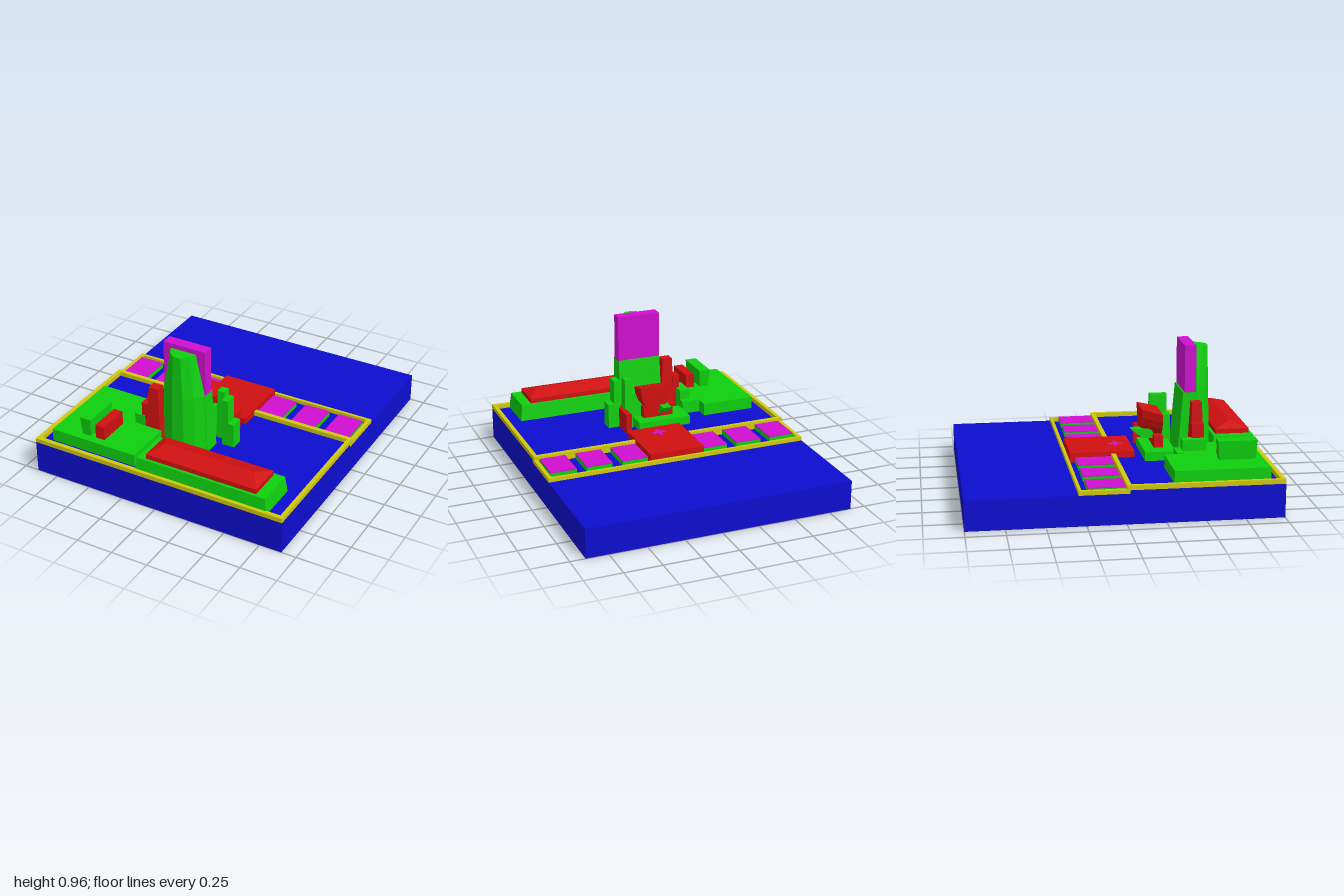
import * as THREE from 'three';

const material = (color) => new THREE.MeshStandardMaterial({ color, flatShading: true, side: THREE.DoubleSide });

export function createModel() {
  const group = new THREE.Group();
  group.name = 'islandBlock';
  const blue = material(0x0d0dd0), green = material(0x0fd00f), red = material(0xd01010);
  const yellow = material(0xd0c80f), magenta = material(0xd00fd0);

  const add = (name, geometry, mat) => {
    const mesh = new THREE.Mesh(geometry, mat);
    mesh.name = name;
    group.add(mesh);
    return mesh;
  };

  // Joins rings of [x, y, z] points with quads; optionally caps the last ring.
  function loft(rings, closed = true, cap = true) {
    const out = [];
    const n = rings[0].length;
    for (let r = 0; r + 1 < rings.length; r++) {
      const a = rings[r], b = rings[r + 1];
      for (let i = 0; i < (closed ? n : n - 1); i++) {
        const j = (i + 1) % n;
        out.push(...a[i], ...a[j], ...b[j], ...a[i], ...b[j], ...b[i]);
      }
    }
    if (cap) {
      const top = rings[rings.length - 1];
      const flat = top.map(([x, , z]) => new THREE.Vector2(x, -z));
      for (const f of THREE.ShapeUtils.triangulateShape(flat, [])) f.forEach((i) => out.push(...top[i]));
    }
    const g = new THREE.BufferGeometry();
    g.setAttribute('position', new THREE.Float32BufferAttribute(out, 3));
    g.computeVertexNormals();
    return g;
  }

  const at = (y, outline) => outline.map(([x, z]) => [x, y, z]);
  const rect = (x0, x1, z0, z1) => [[x0, z1], [x1, z1], [x1, z0], [x0, z0]];
  // Open-bottomed block; foot and top are [x0, x1, z0, z1].
  const block = (name, mat, y0, foot, y1, top = foot) =>
    add(name, loft([at(y0, rect(...foot)), at(y1, rect(...top))]), mat);
  const box = (name, mat, x0, x1, y0, y1, z0, z1) => {
    const g = new THREE.BoxGeometry(x1 - x0, y1 - y0, z1 - z0);
    return add(name, g.translate((x0 + x1) / 2, (y0 + y1) / 2, (z0 + z1) / 2), mat);
  };

  const LOW = 0.198, DECK = 0.22, FOOT = 0.215;

  // Hollow stepped base, open underneath
  const profile = [[-1, 0], [-1, LOW], [0.02, LOW], [0.02, DECK], [1, DECK], [1, 0]];
  add('baseShell', loft([-0.9, 0.9].map((x) => profile.map(([z, y]) => [x, y, z])), false, false), blue);
  const side = new THREE.Shape(profile.map(([z, y]) => new THREE.Vector2(z, y)));
  for (const x of [-0.9, 0.9]) {
    add('baseSide', new THREE.ShapeGeometry(side).rotateY(-Math.PI / 2).translate(x, 0, 0), blue);
  }

  // Yellow kerbs around the two terraces
  for (const s of [-1, 1]) {
    const [x0, x1] = s < 0 ? [-0.9, -0.873] : [0.873, 0.9];
    box('upperKerbSide', yellow, x0, x1, DECK, 0.25, 0, 1);
    box('lowerKerbSide', yellow, x0, x1, LOW, 0.225, -0.3, 0.035);
  }
  box('upperKerbFront', yellow, -0.873, 0.873, DECK, 0.25, 0.97, 1);
  box('upperKerbBack', yellow, -0.873, 0.873, LOW, 0.25, 0, 0.03);
  box('lowerKerbBack', yellow, -0.873, 0.873, LOW, 0.225, -0.3, -0.28);

  // Row of six low plots with coloured tops
  for (const s of [-1, 1]) {
    for (let i = 0; i < 3; i++) {
      const cx = s * (0.285 + i * 0.246);
      box('plotBase', green, cx - 0.088, cx + 0.088, LOW, 0.23, -0.24, -0.005);
      box('plotTop', magenta, cx - 0.088, cx + 0.088, 0.23, 0.235, -0.24, -0.005);
    }
  }

  // Landing platform with its cross mark
  box('landingPlatform', red, -0.19, 0.19, LOW, 0.263, -0.273, 0.155);
  box('crossMarkLong', magenta, -0.014, 0.014, 0.26, 0.266, 0.005, 0.1);
  box('crossMarkWide', magenta, -0.048, 0.048, 0.26, 0.266, 0.039, 0.067);

  // Main tower: rear slab, faceted front and panel
  block('towerRear', green, FOOT, [-0.18, 0.135, 0.445, 0.575], 0.645, [-0.175, 0.125, 0.48, 0.575]);
  const half = (xs, zs) => xs.map((x, i) => [x, zs[i]]);
  add('towerFront', loft([
    at(FOOT, half([-0.18, -0.125, -0.06, 0.03, 0.09, 0.135], [0.57, 0.645, 0.683, 0.683, 0.645, 0.57])),
    at(0.65, half([-0.175, -0.12, -0.055, 0.02, 0.08, 0.125], [0.57, 0.635, 0.672, 0.672, 0.635, 0.57])),
    at(0.935, half([-0.115, -0.09, -0.05, 0.005, 0.045, 0.065], [0.575, 0.625, 0.663, 0.663, 0.625, 0.575])),
  ]), green);
  box('towerPanel', magenta, -0.175, 0.125, 0.645, 0.96, 0.49, 0.565);

  // Long hall with a hipped roof
  block('hall', green, FOOT, [-0.155, 0.78, 0.69, 0.98], 0.33, [-0.143, 0.765, 0.7, 0.967]);
  const roof = rect(-0.087, 0.695, 0.72, 0.948);
  add('hallRoof', loft([at(0.33, roof), at(0.362, roof), at(0.4, rect(-0.01, 0.62, 0.832, 0.834))]), red);

  // Stepped plate with small buildings
  const plate = [[-0.815, 0.925], [-0.19, 0.925], [-0.19, 0.597], [-0.385, 0.597], [-0.385, 0.44],
    [-0.445, 0.44], [-0.445, 0.31], [-0.815, 0.31]];
  add('plate', loft([at(FOOT, plate), at(0.305, plate)]), green);
  block('plateStep', green, FOOT, [-0.445, -0.315, 0.395, 0.44], 0.31);
  block('plateBlock', green, FOOT, [-0.387, -0.315, 0.44, 0.597], 0.378);
  block('longBlock', green, 0.3, [-0.615, -0.553, 0.635, 0.87], 0.43, [-0.625, -0.545, 0.625, 0.88]);
  block('longRedBlock', red, 0.3, [-0.515, -0.45, 0.65, 0.87], 0.4);
  block('chimneyTower', red, FOOT, [-0.305, -0.2, 0.505, 0.597], 0.6, [-0.285, -0.215, 0.52, 0.585]);
  block('chimneyAnnex', red, FOOT, [-0.338, -0.29, 0.51, 0.59], 0.47);

  // Rear cluster on a low footing
  block('rearFooting', green, FOOT, [-0.295, 0.08, 0.21, 0.415], 0.28);
  block('rearPlinth', red, FOOT, [-0.195, 0.02, 0.285, 0.345], 0.36);
  block('rearStep', green, FOOT, [0.015, 0.085, 0.335, 0.43], 0.45);
  block('redWall', red, FOOT, [0.14, 0.178, 0.2, 0.375], 0.36);
  block('innerPillar', green, FOOT, [0.095, 0.155, 0.29, 0.375], 0.57, [0.1, 0.15, 0.305, 0.365]);
  block('outerPillarFoot', green, FOOT, [0.17, 0.255, 0.345, 0.432], 0.39);
  block('outerPillar', green, 0.38, [0.17, 0.212, 0.35, 0.432], 0.555);
  block('beakBlock', green, 0.33, [-0.13, -0.07, 0.22, 0.3], 0.395, [-0.13, -0.07, 0.14, 0.28]);

  // Half-bowl: sloped flat top over a rounded underside
  const bowl = (z, rx, cx, yTop, depth) => Array.from({ length: 11 }, (_, i) => {
    const a = Math.PI * (1 + i / 10);
    return [cx + rx * Math.cos(a), yTop + depth * Math.sin(a), z];
  });
  const front = bowl(0.345, 0.13, -0.065, 0.5, 0.17), back = bowl(0.21, 0.11, -0.04, 0.53, 0.18);
  add('bowl', loft([back, front], true, false), red);
  const face = (ring) => loft([ring, ring.map(() => [-0.05, 0.48, ring[0][2]])], true, false);
  add('bowlFront', face(front), red);
  add('bowlBack', face(back), red);

  return group;
}
